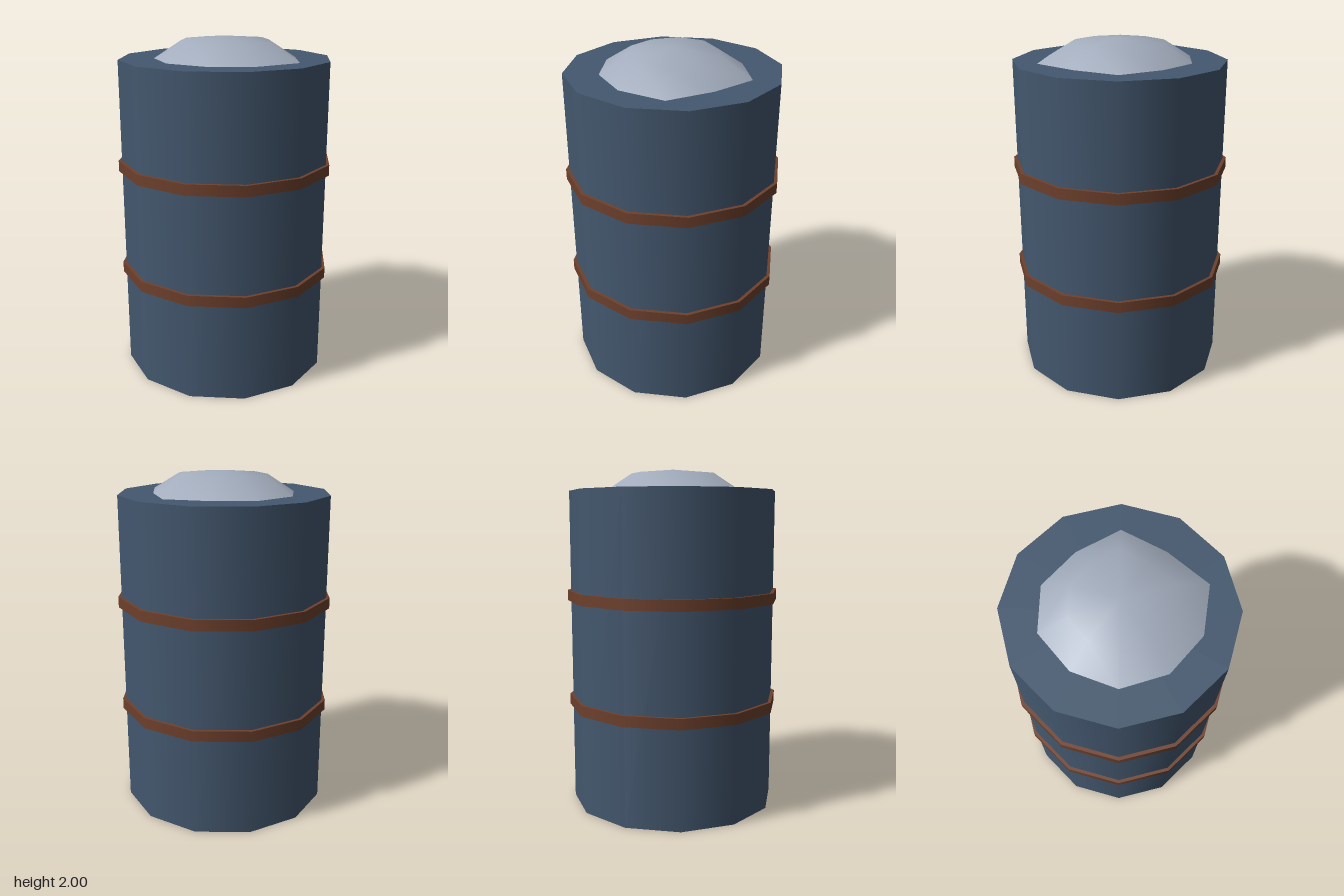
import * as THREE from 'three';
import { mergeVertices } from 'three/addons/utils/BufferGeometryUtils.js';

const SIDES = 12;

function addCylinder(group, name, radius, height, y, material) {
  const mesh = new THREE.Mesh(new THREE.CylinderGeometry(radius, radius, height, SIDES), material);
  mesh.name = name;
  mesh.position.y = y;
  group.add(mesh);
}

// Shallow ten-sided mound whose spokes vary in length
function moundGeometry() {
  const spokes = [0.46, 0.41, 0.48, 0.44, 0.42, 0.42, 0.41, 0.43, 0.425, 0.4];
  const profile = [[1, 1.874], [0.62, 1.975], [0, 2]].map(([r, y]) => new THREE.Vector2(r, y));
  let geometry = new THREE.LatheGeometry(profile, spokes.length, Math.PI / 2);
  const pos = geometry.attributes.position;
  for (let i = 0; i < pos.count; i++) {
    const x = pos.getX(i), z = pos.getZ(i);
    const turn = Math.atan2(z, x) / (2 * Math.PI);
    const spoke = (Math.round(turn * spokes.length) + spokes.length) % spokes.length;
    pos.setX(i, x * spokes[spoke]);
    pos.setZ(i, z * spokes[spoke]);
  }
  // Weld the seam so the shading is smooth all round
  geometry.deleteAttribute('uv');
  geometry.deleteAttribute('normal');
  geometry = mergeVertices(geometry);
  geometry.computeVertexNormals();
  return geometry;
}

export function createModel() {
  const model = new THREE.Group();
  model.name = 'barrel';
  const bodyPaint = new THREE.MeshStandardMaterial({ color: 0x44586f });
  const bandPaint = new THREE.MeshStandardMaterial({ color: 0x6e402c });
  const moundPaint = new THREE.MeshStandardMaterial({ color: 0xa3adbd });

  // Drum and its two hoops
  addCylinder(model, 'body', 0.615, 1.875, 0.9375, bodyPaint);
  addCylinder(model, 'lowerBand', 0.635, 0.063, 0.619, bandPaint);
  addCylinder(model, 'upperBand', 0.635, 0.063, 1.259, bandPaint);

  // Contents heaped on the top
  const mound = new THREE.Mesh(moundGeometry(), moundPaint);
  mound.name = 'mound';
  model.add(mound);

  return model;
}
